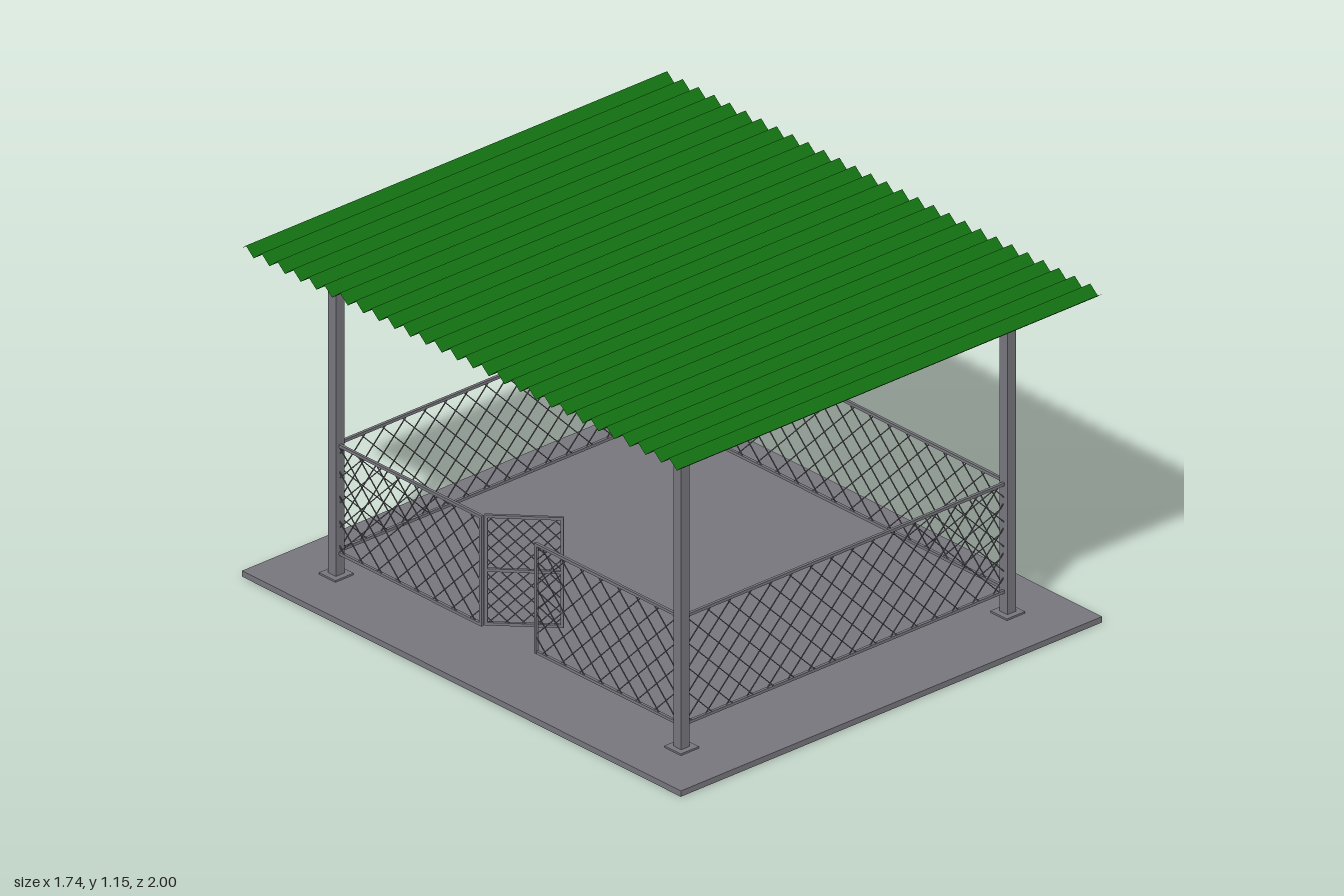
import * as THREE from 'three';
import { mergeGeometries } from 'three/addons/utils/BufferGeometryUtils.js';

const steel = new THREE.MeshStandardMaterial({ color: 0x77767d });
const wire = new THREE.MeshStandardMaterial({ color: 0x66666c });
const green = new THREE.MeshStandardMaterial({ color: 0x107010, side: THREE.DoubleSide, flatShading: true });

const PX = 0.675, PZ = 0.787; // post centres
const FENCE_LOW = 0.1, FENCE_HIGH = 0.47;

// Square bar geometry running from a to b
function bar(a, b, w, h = w) {
  const from = new THREE.Vector3(...a), to = new THREE.Vector3(...b);
  const holder = new THREE.Object3D();
  holder.position.copy(from).add(to).multiplyScalar(0.5);
  holder.lookAt(to);
  holder.updateMatrix();
  return new THREE.BoxGeometry(w, h, from.distanceTo(to)).applyMatrix4(holder.matrix);
}

function part(name, geometries, material = steel) {
  const mesh = new THREE.Mesh(mergeGeometries([].concat(geometries)), material);
  mesh.name = name;
  return mesh;
}

// Diagonal wires clipped to a w by h rectangle
function chainLink(w, h, step) {
  const wires = [];
  for (let c = step / 2; c < w + h; c += step) {
    const u0 = Math.max(0, c - h), u1 = Math.min(w, c);
    if (u1 - u0 < 0.005) continue;
    wires.push(bar([u0, c - u0, 0.0015], [u1, c - u1, 0.0015], 0.003));
    wires.push(bar([u0, h - c + u0, -0.0015], [u1, h - c + u1, -0.0015], 0.003));
  }
  return wires;
}

// Framed mesh panel between two floor points [x, z]
function fencePanel(name, [x0, z0], [x1, z1], { uprights = [], midRail = false, step = 0.085 } = {}) {
  const group = new THREE.Group();
  group.name = name;
  const w = Math.hypot(x1 - x0, z1 - z0), h = FENCE_HIGH - FENCE_LOW;
  const levels = midRail ? [0, h / 2, h] : [0, h];
  const frame = levels.map((y) => bar([0, y, 0], [w, y, 0], 0.01));
  for (const u of uprights) frame.push(bar([u * w, -0.005, 0], [u * w, h + 0.005, 0], 0.01));
  group.add(part('fenceFrame', frame), part('chainLink', chainLink(w, h, step), wire));
  group.position.set(x0, FENCE_LOW, z0);
  group.rotation.y = Math.atan2(z0 - z1, x1 - x0);
  return group;
}

// Pleated sheet with ridges along x
function roofGeometry(halfWidth, pleats, mid, amp) {
  const pos = [], index = [], quarter = 2 / (pleats * 4);
  for (let i = 0; i <= pleats * 4; i++) {
    const y = mid + amp * [0, 1, 0, -1][i % 4], z = -1 + i * quarter;
    pos.push(-halfWidth, y, z, halfWidth, y, z);
    if (i) {
      const k = i * 2;
      index.push(k - 2, k, k - 1, k - 1, k, k + 1);
    }
  }
  const g = new THREE.BufferGeometry();
  g.setAttribute('position', new THREE.Float32BufferAttribute(pos, 3));
  g.setIndex(index);
  g.computeVertexNormals();
  return g;
}

export function createModel() {
  const model = new THREE.Group();
  model.name = 'shelter';

  // Floor slab
  model.add(part('floor', new THREE.BoxGeometry(1.744, 0.02, 2).translate(0, 0.01, 0)));

  // Posts with base plates, the back pair taller
  for (const sx of [-1, 1]) for (const sz of [-1, 1]) {
    const x = sx * PX, z = sz * PZ, top = sz > 0 ? 1.04 : 1.1;
    model.add(part('post', [
      new THREE.BoxGeometry(0.035, top - 0.02, 0.035).translate(x, (top + 0.02) / 2, z),
      new THREE.BoxGeometry(0.075, 0.006, 0.075).translate(x, 0.023, z),
    ]));
  }

  // Sloped side beams and level front beam
  for (const sx of [-1, 1])
    model.add(part('sideBeam', bar([sx * PX, 1.027, PZ], [sx * PX, 1.085, -PZ], 0.033)));
  model.add(part('frontBeam', bar([-PX, 1.027, PZ], [PX, 1.027, PZ], 0.033)));

  // Three zigzag trusses across the width
  for (const z of [PZ, 0, -PZ]) {
    const low = 1.05, high = 1.111, n = 6, bars = [
      bar([-PX, low, z], [PX, low, z], 0.007),
      bar([-PX, high, z], [PX, high, z], 0.007),
    ];
    for (let i = 0; i < n; i++) {
      const x0 = -PX + (2 * PX * i) / n, x1 = -PX + (2 * PX * (i + 1)) / n;
      bars.push(bar([x0, i % 2 ? high : low, z], [x1, i % 2 ? low : high, z], 0.007));
    }
    for (const sx of [-1, 1]) bars.push(bar([sx * PX, 1.03, z], [sx * PX, 1.114, z], 0.008));
    model.add(part('roofTruss', bars));
  }

  // Thin sloped purlins
  for (const x of [-0.3375, 0, 0.3375])
    model.add(part('purlin', bar([x, 1.053, PZ], [x, 1.11, -PZ], 0.007)));

  // Corrugated roof sheet
  const roof = new THREE.Mesh(roofGeometry(0.872, 28, 1.131, 0.015), green);
  roof.name = 'roof';
  model.add(roof);

  // Fences, with a half-open gate in one side
  const gap = 0.125;
  model.add(
    fencePanel('frontFence', [-PX, PZ], [PX, PZ]),
    fencePanel('backFence', [-PX, -PZ], [PX, -PZ]),
    fencePanel('leftFence', [PX, PZ], [PX, -PZ]),
    fencePanel('rightFrontFence', [-PX, PZ], [-PX, gap], { uprights: [1] }),
    fencePanel('rightBackFence', [-PX, -PZ], [-PX, -gap], { uprights: [1] }),
    fencePanel('gate', [-0.66, -gap + 0.005], [-0.5, 0.05], { uprights: [0, 1], midRail: true, step: 0.05 }),
  );
  return model;
}
